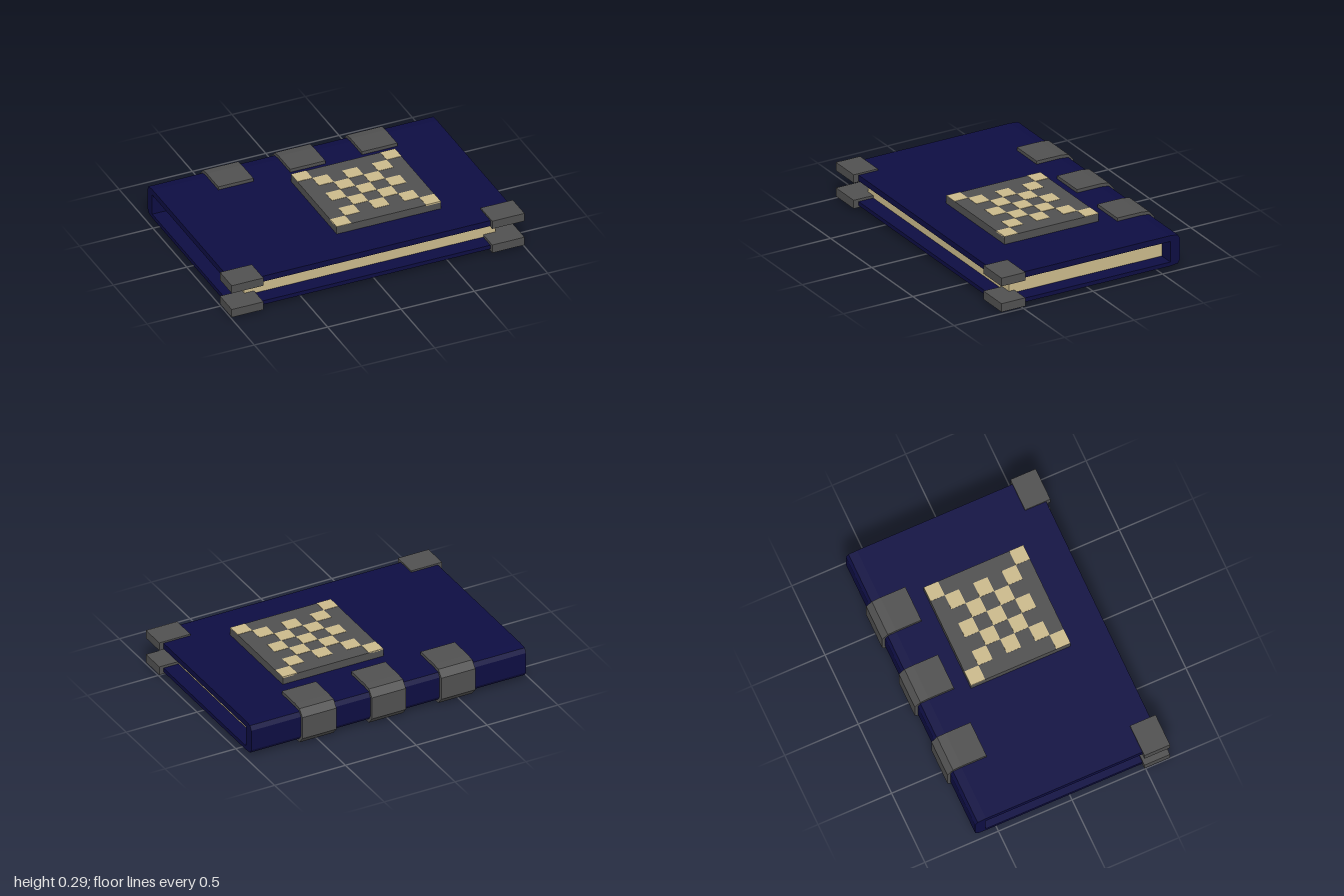
import * as THREE from 'three';

const mat = (color) => new THREE.MeshStandardMaterial({ color, flatShading: true });

export function createModel() {
  const book = new THREE.Group();
  book.name = 'book';
  const navy = mat(0x0d0d42), tan = mat(0xcab98b), iron = mat(0x505050);

  const add = (name, geometry, material) => {
    const mesh = new THREE.Mesh(geometry, material);
    mesh.name = name;
    book.add(mesh);
    return mesh;
  };

  // Box given by its limits on each axis
  const box = (name, material, x0, x1, y0, y1, z0, z1) =>
    add(name, new THREE.BoxGeometry(x1 - x0, y1 - y0, z1 - z0), material)
      .position.set((x0 + x1) / 2, (y0 + y1) / 2, (z0 + z1) / 2);

  // C-shaped section drawn as [z, y] points, extruded from x0 to x1
  const section = (name, material, points, x0, x1) => {
    const shape = new THREE.Shape(points.map(([z, y]) => new THREE.Vector2(-z, y)));
    const geometry = new THREE.ExtrudeGeometry(shape, { depth: x1 - x0, bevelEnabled: false });
    geometry.rotateY(Math.PI / 2).translate(x0, 0, 0);
    add(name, geometry, material);
  };

  // Cover: two boards joined by a bevelled spine
  const spine = [[-0.57, 0.235], [-0.628, 0.229], [-0.645, 0.2], [-0.645, 0.06], [-0.628, 0.034], [-0.57, 0.028]];
  section('cover', navy, [
    [0.63, 0.235], ...spine, [0.63, 0.028],
    [0.63, 0.055], [-0.575, 0.055], [-0.575, 0.195], [0.63, 0.195],
  ], -0.97, 0.97);

  // Page block
  box('pages', tan, -0.85, 0.865, 0.054, 0.196, -0.576, 0.525);

  // Straps wrapped around the spine
  const strap = [
    [-0.4, 0.257], [-0.57, 0.257], [-0.628, 0.25], [-0.666, 0.205],
    [-0.666, 0.053], [-0.628, 0.008], [-0.57, 0.003], [-0.4, 0.003],
    [-0.4, 0.028], ...[...spine].reverse(), [-0.4, 0.235],
  ];
  for (const x of [-0.6, -0.11, 0.38]) section('spineStrap', iron, strap, x, x + 0.24);

  // Corner guards on both boards
  for (const [y0, y1] of [[0.015, 0.072], [0.19, 0.246]]) {
    box('leftCornerGuard', iron, 0.78, 1, y0, y1, 0.486, 0.658);
    box('rightCornerGuard', iron, -1, -0.783, y0, y1, 0.492, 0.666);
  }

  // Raised plaque with a chequered inlay
  const x0 = -0.15, z0 = -0.302, w = 0.71 / 7, d = 0.677 / 7;
  box('plaque', iron, x0, x0 + 7 * w, 0.23, 0.287, z0, z0 + 7 * d);
  const rows = [[0, 6], [1, 3, 5], [2, 4], [1, 3, 5], [2, 4], [1, 3, 5], [0, 6]];
  rows.forEach((columns, r) => columns.forEach((c) =>
    box('inlayTile', tan, x0 + c * w, x0 + (c + 1) * w, 0.28, 0.289, z0 + r * d, z0 + (r + 1) * d)));

  return book;
}
